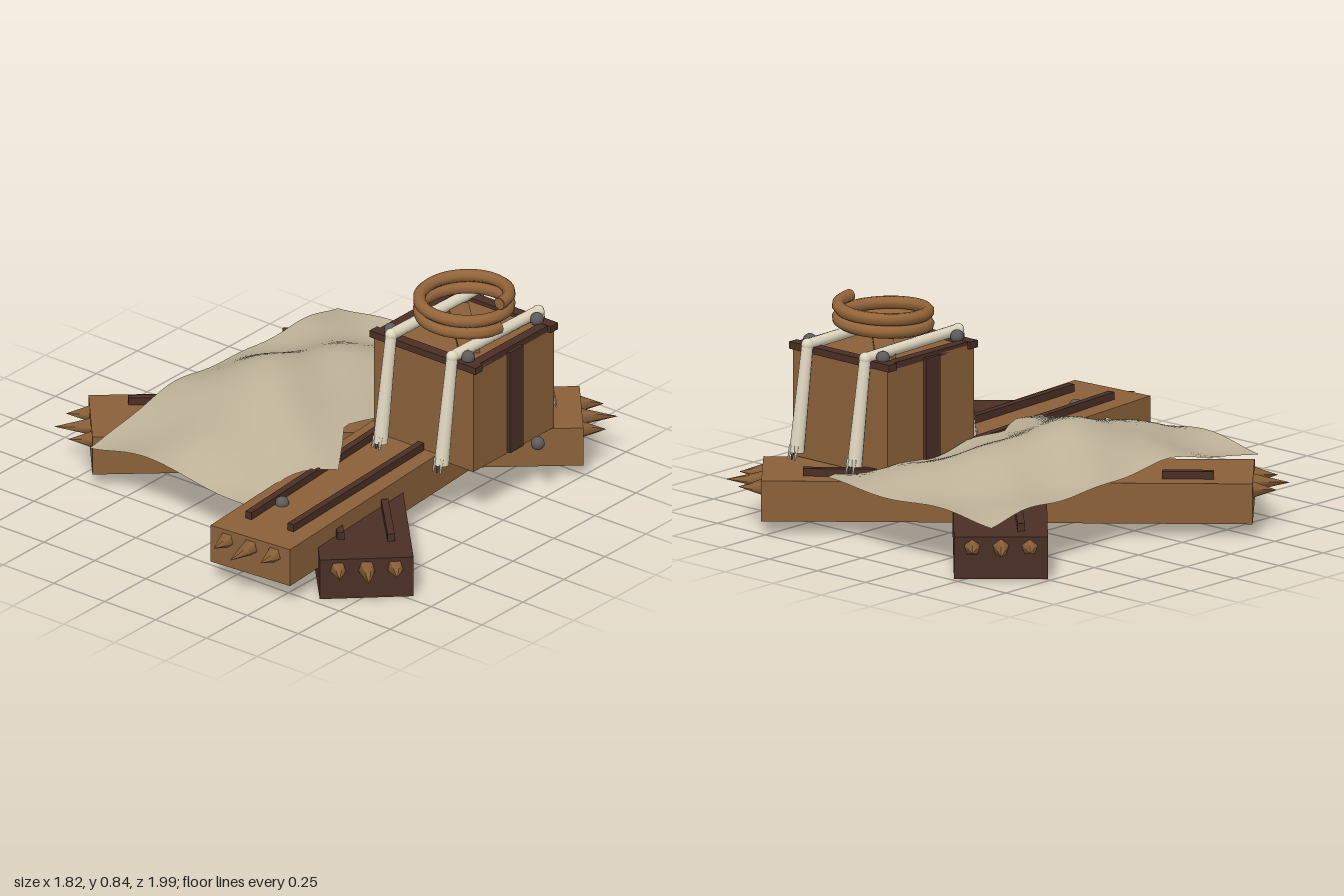
import * as THREE from 'three';

const mat = (name, color, side = THREE.FrontSide) => {
  const m = new THREE.MeshStandardMaterial({ color, side });
  m.name = name;
  return m;
};

export function createModel() {
  const root = new THREE.Group();
  root.name = 'wreckagePile';
  const wood = mat('wood', 0x8b6139);
  const darkWood = mat('dark wood', 0x4a2f25);
  const rope = mat('rope', 0x94653a);
  const canvas = mat('canvas', 0xbdb197, THREE.DoubleSide);
  const strap = mat('strap', 0xe0d7c0);
  const iron = mat('iron', 0x5e5b5a);

  const add = (parent, name, geo, material, x = 0, y = 0, z = 0) => {
    const m = new THREE.Mesh(geo, material);
    m.name = name;
    m.position.set(x, y, z);
    parent.add(m);
    return m;
  };
  const box = (parent, name, w, h, d, material, x, y, z) =>
    add(parent, name, new THREE.BoxGeometry(w, h, d), material, x, y, z);
  const ball = (parent, name, r, material, x, y, z) =>
    add(parent, name, new THREE.SphereGeometry(r, 12, 8), material, x, y, z);

  // Round bar from a to b, radius r0 at a and r1 at b
  const UP = new THREE.Vector3(0, 1, 0);
  const bar = (parent, name, a, b, r0, r1, material, sides = 10) => {
    const p = new THREE.Vector3(...a), d = new THREE.Vector3(...b).sub(p);
    const m = add(parent, name, new THREE.CylinderGeometry(r1, r0, d.length(), sides), material);
    m.position.copy(p).addScaledVector(d, 0.5);
    m.quaternion.setFromUnitVectors(UP, d.normalize());
    return m;
  };

  // Broken beams: end centres (x, z), width, bottom and top heights
  const beam = (name, a, b, width, y0, y1, material) => {
    const dx = b[0] - a[0], dz = b[1] - a[1], len = Math.hypot(dx, dz);
    const g = new THREE.Group();
    g.name = name;
    g.position.set((a[0] + b[0]) / 2, 0, (a[1] + b[1]) / 2);
    g.rotation.y = Math.atan2(dx, dz);
    root.add(g);
    box(g, name + 'Timber', width, y1 - y0, len, material, 0, (y0 + y1) / 2, 0);
    // Splinters along the upper edge of both broken ends
    for (const end of [-1, 1]) {
      [-0.11, 0, 0.11].forEach((x, i) => {
        const l = i === 1 ? 0.15 : 0.1;
        const s = add(g, 'splinter', new THREE.ConeGeometry(0.036, l, 5), wood,
          x, y1 - 0.042, end * (len / 2 + l / 2 - 0.01));
        s.rotation.x = end * Math.PI / 2;
      });
    }
  };
  beam('lowerBeam', [-0.6, -0.865], [0.76, 0.595], 0.36, 0, 0.167, darkWood);
  beam('middleBeam', [-0.775, 0.375], [0.64, -0.865], 0.36, 0.05, 0.21, wood);
  beam('upperBeam', [0.29, -0.46], [0.385, 0.84], 0.37, 0.08, 0.235, wood);

  // Raised dark grain strips on the beams: x0, z0, x1, z1, base height
  for (const [x0, z0, x1, z1, y] of [
    [0.21, -0.16, 0.28, 0.72, 0.235], [0.42, -0.16, 0.47, 0.7, 0.235],
    [-0.58, 0.07, -0.73, 0.2, 0.21], [0.46, -0.83, 0.24, -0.64, 0.21],
    [0.53, 0.2, 0.74, 0.42, 0.167], [0.36, 0.31, 0.58, 0.53, 0.167],
    [-0.6, -0.75, -0.45, -0.6, 0.167],
  ]) {
    const s = box(root, 'grainStrip', 0.028, 0.04, Math.hypot(x1 - x0, z1 - z0), darkWood,
      (x0 + x1) / 2, y + 0.01, (z0 + z1) / 2);
    s.rotation.y = Math.atan2(x1 - x0, z1 - z0);
  }
  ball(root, 'looseNail', 0.027, iron, 0.3, 0.24, 0.54);
  ball(root, 'looseNail', 0.027, iron, 0.735, 0.235, -0.48);

  // Crate with dark battens and a diagonal lid plank
  const crate = new THREE.Group();
  crate.name = 'crate';
  crate.position.set(0.428, 0, -0.41);
  root.add(crate);
  box(crate, 'crateBody', 0.49, 0.435, 0.49, wood, 0, 0.4325, 0);
  for (const s of [-1, 1]) {
    box(crate, 'sideBatten', 0.03, 0.43, 0.08, darkWood, s * 0.245, 0.435, 0);
    box(crate, 'lidBatten', 0.52, 0.028, 0.045, darkWood, 0, 0.651, s * 0.23);
    box(crate, 'lidSideBatten', 0.04, 0.026, 0.44, darkWood, s * 0.225, 0.651, 0);
    for (const t of [-1, 1]) ball(crate, 'lidBolt', 0.027, iron, s * 0.19, 0.675, t * 0.21);
  }
  box(crate, 'lidPlank', 0.08, 0.02, 0.4, wood, 0, 0.658, 0).rotation.y = Math.PI / 4;

  // Two straps over the crate with frayed ends
  for (const x of [0.28, 0.58]) {
    const g = new THREE.Group();
    g.name = 'strap';
    root.add(g);
    const pts = [[x, 0.25, -0.085], [x, 0.685, -0.15], [x, 0.675, -0.675], [x, 0.26, -0.735]];
    bar(g, 'strapFront', pts[0], pts[1], 0.03, 0.023, strap);
    bar(g, 'strapTop', pts[1], pts[2], 0.023, 0.023, strap);
    bar(g, 'strapBack', pts[2], pts[3], 0.023, 0.03, strap);
    for (const p of [pts[1], pts[2]]) ball(g, 'strapBend', 0.025, strap, ...p);
    for (const [p, dir] of [[pts[0], 1], [pts[3], -1]]) {
      for (let i = -1; i <= 1; i++) {
        bar(g, 'frayedStrand', [x + i * 0.014, p[1] + 0.03, p[2] + dir * 0.016],
          [x + i * 0.018, p[1] - 0.025, p[2] + dir * 0.03], 0.009, 0.003, i ? strap : iron, 5);
      }
    }
  }

  // Two-turn rope coil on the lid
  const turns = [];
  for (let i = 0; i <= 48; i++) {
    const t = i / 48, a = t * Math.PI * 4;
    turns.push(new THREE.Vector3(0.428 + 0.172 * Math.cos(a), 0.715 + 0.1 * t, -0.412 + 0.172 * Math.sin(a)));
  }
  add(root, 'ropeCoil', new THREE.TubeGeometry(new THREE.CatmullRomCurve3(turns), 120, 0.025, 8), rope);
  for (const [p, s] of [[turns[0], -1], [turns[48], 1]]) {
    const cap = add(root, 'ropeEnd', new THREE.CircleGeometry(0.025, 8), rope, p.x, p.y, p.z);
    if (s < 0) cap.rotation.y = Math.PI;
  }

  // Draped canvas: straight left side, torn right side (z, x along the tear)
  const tear = [[-0.93, 0.24], [-0.82, 0.3], [-0.65, 0.17], [-0.5, 0.21], [-0.35, 0.17], [-0.2, 0.18],
    [-0.05, 0.13], [0.06, 0.21], [0.21, 0.31], [0.33, 0.2], [0.42, 0.16], [0.5, 0.15], [0.585, 0.18]];
  const tearX = z => {
    let i = 1;
    while (i < tear.length - 1 && tear[i][0] < z) i++;
    const [z0, x0] = tear[i - 1], [z1, x1] = tear[i];
    return x0 + (x1 - x0) * (z - z0) / (z1 - z0);
  };
  const bump = (x, z, cx, cz, rx, rz) => Math.exp(-(((x - cx) / rx) ** 2) - ((z - cz) / rz) ** 2);
  const cloth = new THREE.PlaneGeometry(1, 1, 28, 44);
  const pos = cloth.attributes.position;
  for (let i = 0; i < pos.count; i++) {
    const u = pos.getX(i) + 0.5, v = 0.5 - pos.getY(i);
    const z = -0.93 + 1.515 * v;
    const x = -0.61 + (tearX(z) + 0.61) * u;
    let y = 0.245 + 0.165 * bump(x, z, -0.23, -0.06, 0.3, 0.38)
      + 0.05 * bump(x, z, -0.15, -0.55, 0.28, 0.22)
      + 0.02 * bump(x, z, 0.25, 0.2, 0.15, 0.2)
      - 0.04 * bump(x, z, 0.1, 0.585, 0.28, 0.14)
      - 0.03 * bump(x, z, -0.61, 0.585, 0.2, 0.2)
      - 0.03 * bump(x, z, -0.61, -0.93, 0.2, 0.2);
    y += 0.012 * Math.sin(9 * x + 7 * z) + 0.007 * Math.sin(15 * z - 11 * x);
    pos.setXYZ(i, x, y, z);
  }
  cloth.computeVertexNormals();
  add(root, 'drapedCanvas', cloth, canvas);

  return root;
}
